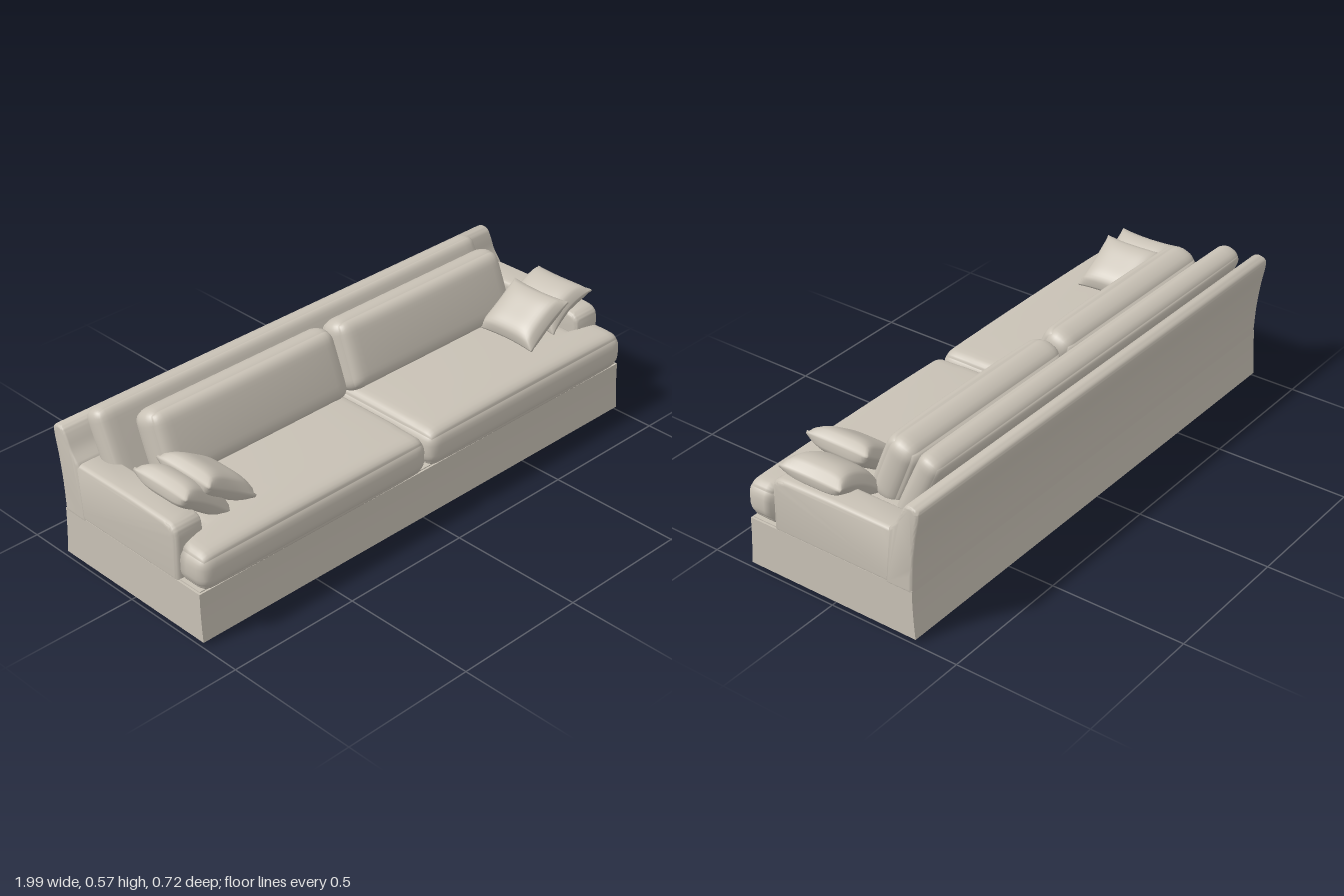
import * as THREE from 'three';
import { mergeVertices, toCreasedNormals } from 'three/addons/utils/BufferGeometryUtils.js';

const fabric = new THREE.MeshStandardMaterial({ color: 0xc8c1b5 });
fabric.name = 'fabric';
const black = new THREE.MeshStandardMaterial({ color: 0x121212 });
black.name = 'black';

// Weld a shaped box and give it smooth normals
function smooth(geo) {
  geo.deleteAttribute('uv');
  geo.deleteAttribute('normal');
  const welded = mergeVertices(geo, 1e-5);
  welded.computeVertexNormals();
  return welded;
}

// Move every vertex by a rule
function reshape(geo, rule) {
  const pos = geo.attributes.position;
  const p = new THREE.Vector3();
  for (let i = 0; i < pos.count; i++) {
    rule(p.fromBufferAttribute(pos, i));
    pos.setXYZ(i, p.x, p.y, p.z);
  }
  return geo;
}

// Crown height across a cushion, from 0 at the edge to 1 in the middle
const crown = u => Math.max(0, Math.cos(u * Math.PI / 2)) ** 0.6;

// Rounded cushion lying flat, crowned by puff on its broad faces
function cushion(w, t, d, r, puff, extra = () => {}) {
  const half = new THREE.Vector3(w / 2, t / 2, d / 2);
  const core = half.clone().subScalar(r);
  const inner = new THREE.Vector3();
  return smooth(reshape(new THREE.BoxGeometry(2, 2, 2, 32, 10, 24), p => {
    const { x: u, y: s, z: v } = p;
    // crowd the grid towards the edges
    for (const a of ['x', 'y', 'z']) p[a] = Math.sin(p[a] * Math.PI / 2) * half[a];
    inner.set(
      THREE.MathUtils.clamp(p.x, -core.x, core.x),
      THREE.MathUtils.clamp(p.y, -core.y, core.y),
      THREE.MathUtils.clamp(p.z, -core.z, core.z));
    p.sub(inner).normalize().multiplyScalar(r).add(inner);
    p.y += puff * s * crown(u) * crown(v);
    extra(p);
  }));
}

// Knife-edged throw pillow with pinched corners and an optional droop
function pillow(w, t, d, bend) {
  return smooth(reshape(new THREE.BoxGeometry(2, 2, 2, 20, 2, 20), p => {
    const { x: u, y: s, z: v } = p;
    const full = Math.max(0, (1 - u ** 4) * (1 - v ** 4)) ** 0.55;
    p.set(
      u * w / 2 * (1 - 0.07 * (1 - v * v)),
      s * (0.005 + t / 2 * full) - bend * u * u,
      v * d / 2 * (1 - 0.07 * (1 - u * u)));
  }));
}

// Side profile given as [z, y] points, extruded from x0 to x1
function extrudeX(points, x0, x1, bevel) {
  const shape = new THREE.Shape(points.map(([z, y]) => new THREE.Vector2(-z, y)));
  const geo = new THREE.ExtrudeGeometry(shape, {
    depth: x1 - x0 - 2 * bevel, bevelThickness: bevel, bevelSize: bevel,
    bevelOffset: -bevel, bevelSegments: 4,
  });
  geo.translate(0, 0, x0 + bevel).rotateY(Math.PI / 2);
  return toCreasedNormals(geo, 0.7);
}

// Round off a profile with a smooth curve
function curved(points, n) {
  const curve = new THREE.CatmullRomCurve3(points.map(([z, y]) => new THREE.Vector3(z, y, 0)));
  return curve.getPoints(n).map(p => [p.x, p.y]);
}

export function createModel() {
  const sofa = new THREE.Group();
  sofa.name = 'sofa';
  const add = (name, geo, mat = fabric, x = 0, y = 0, z = 0) => {
    const mesh = new THREE.Mesh(geo, mat);
    mesh.name = name;
    mesh.position.set(x, y, z);
    sofa.add(mesh);
    return mesh;
  };

  // Hollow skirt, flared a little at the hem
  const rect = (Outline, hx, hz) => new Outline([[-hx, -hz], [hx, -hz], [hx, hz], [-hx, hz]]
    .map(([a, b]) => new THREE.Vector2(a, b)));
  const skirtShape = rect(THREE.Shape, 0.995, 0.332);
  skirtShape.holes.push(rect(THREE.Path, 0.983, 0.32));
  const skirt = new THREE.ExtrudeGeometry(skirtShape, { depth: 0.18, steps: 4, bevelEnabled: false });
  skirt.rotateX(-Math.PI / 2);
  reshape(skirt, p => { p.z *= 1 + 0.028 * (1 - p.y / 0.18) ** 2; });
  add('skirt', toCreasedNormals(skirt, 0.5), fabric, 0, 0.015, 0.005);
  add('seatPlatform', new THREE.BoxGeometry(1.975, 0.025, 0.65), fabric, 0, 0.186, 0.005);

  // Leaning back panel
  add('backPanel', extrudeX([
    [-0.22, 0.185], [-0.327, 0.185],
    ...curved([[-0.328, 0.2], [-0.334, 0.3], [-0.347, 0.4], [-0.361, 0.475], [-0.36, 0.497],
      [-0.335, 0.511], [-0.31, 0.505], [-0.293, 0.48], [-0.272, 0.435], [-0.24, 0.395]], 36),
  ], -0.997, 0.997, 0.012));

  // Low arms and seat cushions that wrap in front of them
  const armProfile = [[-0.32, 0.185], [-0.32, 0.395], [-0.22, 0.398], [0, 0.4],
    ...curved([[0.17, 0.397], [0.208, 0.391], [0.228, 0.375], [0.235, 0.345]], 12), [0.237, 0.185]];
  for (const side of [-1, 1]) {
    const name = side > 0 ? 'left' : 'right';
    const x0 = side > 0 ? 0.88 : -0.996;
    add(name + 'Arm', extrudeX(armProfile, x0, x0 + 0.116, 0.018));

    const seat = cushion(0.99, 0.125, 0.57, 0.045, 0.022, p => {
      // narrow the part that sits between the arms
      const wide = THREE.MathUtils.smoothstep(p.z, 0.15, 0.175);
      const u = p.x * side / 0.99 + 0.5;
      p.x = side * (u * THREE.MathUtils.lerp(0.882, 0.99, wide) - 0.495);
      p.y = Math.max(p.y, -0.0625);
    });
    add(name + 'SeatCushion', seat, fabric, side * 0.499, 0.263, 0.075);

    const back = add(name + 'BackCushion', cushion(0.81, 0.115, 0.265, 0.05, 0.022),
      fabric, side * 0.41, 0.437, -0.1);
    back.rotation.x = THREE.MathUtils.degToRad(68);
  }

  // One long bolster behind the back cushions
  const rear = add('rearCushion', cushion(1.755, 0.09, 0.335, 0.04, 0.008), fabric, -0.0425, 0.406, -0.205);
  rear.rotation.x = THREE.MathUtils.degToRad(66);

  // Throw pillows: x, y, z, tilt in degrees, droop
  [
    ['rightInnerPillow', -0.755, 0.412, 0.105, -32, 0],
    ['rightOuterPillow', -0.845, 0.405, 0.1, -36, 0.008],
    ['leftInnerPillow', 0.73, 0.41, 0.108, 34, 0],
    ['leftOuterPillow', 0.88, 0.412, 0.077, 28, 0.02],
  ].forEach(([name, x, y, z, tilt, bend]) => {
    const mesh = add(name, pillow(0.225, 0.085, 0.25, bend), fabric, x, y, z);
    mesh.rotation.z = THREE.MathUtils.degToRad(tilt);
  });

  // Tapered block feet on slim pegs
  const foot = new THREE.CylinderGeometry(0.033, 0.027, 0.045, 4).rotateY(Math.PI / 4).toNonIndexed();
  foot.computeVertexNormals();
  const peg = new THREE.CylinderGeometry(0.006, 0.006, 0.14, 8);
  for (const x of [-0.93, 0, 0.93]) {
    for (const z of [-0.25, 0.242]) {
      add('foot', foot, black, x, 0.0225, z);
      add('footPeg', peg, fabric, x, 0.11, z);
    }
  }
  return sofa;
}
